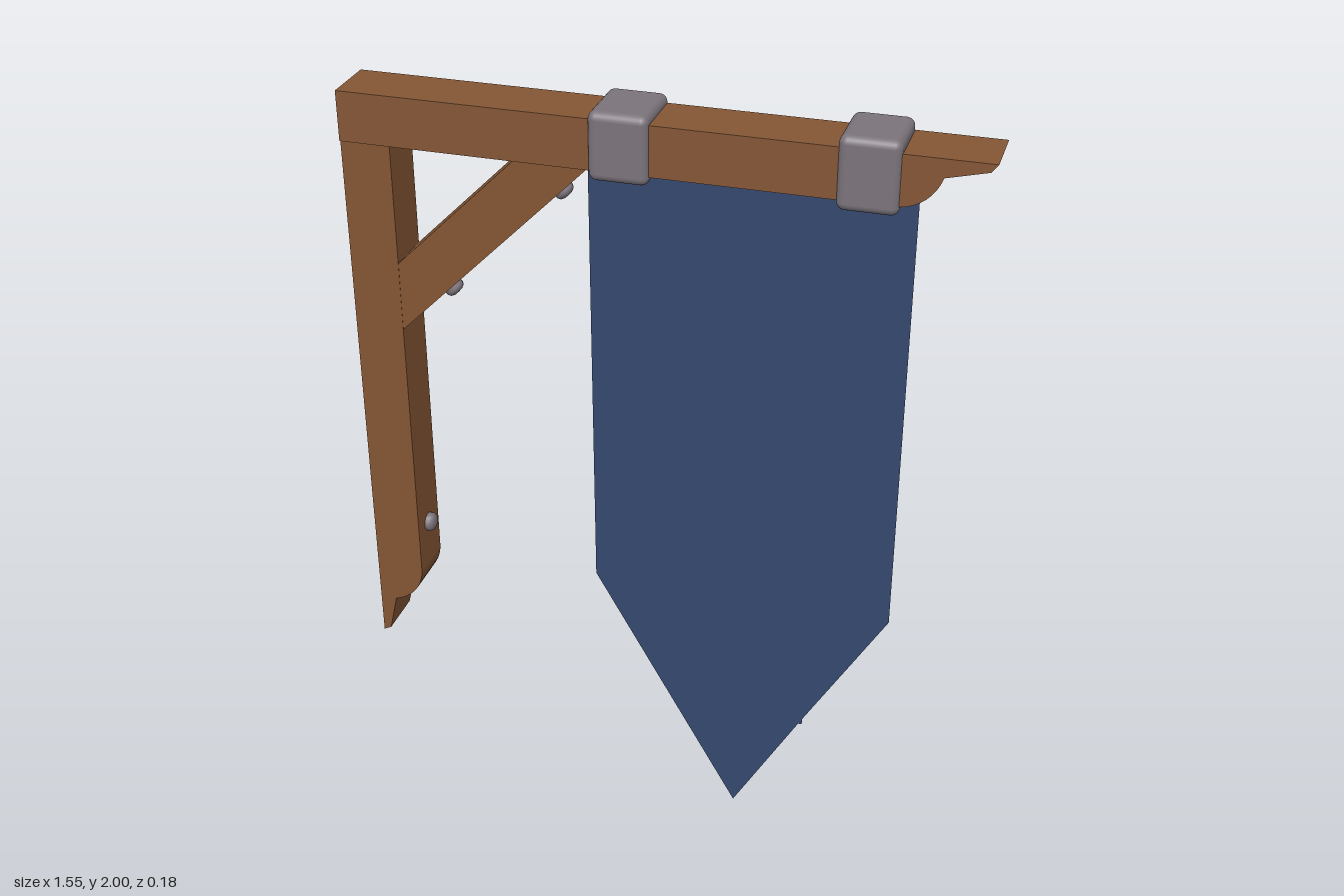
import * as THREE from 'three';
import { RoundedBoxGeometry } from 'three/addons/geometries/RoundedBoxGeometry.js';

const wood = new THREE.MeshStandardMaterial({ color: 0x845635 });
wood.name = 'wood';
const metal = new THREE.MeshStandardMaterial({ color: 0x7b747b });
metal.name = 'iron';
const cloth = new THREE.MeshStandardMaterial({ color: 0x35486f, side: THREE.DoubleSide });
cloth.name = 'blue cloth';

export function createModel() {
  const model = new THREE.Group();
  model.name = 'hangingBanner';

  const add = (name, geometry, material, x = 0, y = 0, z = 0) => {
    const mesh = new THREE.Mesh(geometry, material);
    mesh.name = name;
    mesh.position.set(x, y, z);
    model.add(mesh);
    return mesh;
  };

  // Timber cut from a side profile, spanning z0 to z1
  const timber = (name, shape, z0, z1) => add(
    name,
    new THREE.ExtrudeGeometry(shape, { depth: z1 - z0, bevelEnabled: false, curveSegments: 8 }),
    wood, 0, 0, z0
  );

  // Horizontal beam with a carved right end
  const beam = new THREE.Shape();
  beam.moveTo(-0.775, 1.845);
  beam.lineTo(0.565, 1.845);
  beam.bezierCurveTo(0.61, 1.85, 0.645, 1.88, 0.66, 1.925);
  beam.lineTo(0.76, 1.95);
  beam.lineTo(0.775, 1.97);
  beam.lineTo(-0.775, 1.97);
  timber('beam', beam, -0.077, 0.07);

  // Upright post with a matching carved foot
  const post = new THREE.Shape();
  post.moveTo(-0.775, 1.845);
  post.lineTo(-0.775, 0.42);
  post.lineTo(-0.755, 0.43);
  post.lineTo(-0.732, 0.53);
  post.bezierCurveTo(-0.685, 0.545, -0.655, 0.58, -0.65, 0.63);
  post.lineTo(-0.65, 1.845);
  timber('post', post, -0.065, 0.065);

  // Diagonal brace
  const brace = new THREE.Shape();
  brace.moveTo(-0.65, 1.36);
  brace.lineTo(-0.16, 1.845);
  brace.lineTo(-0.34, 1.845);
  brace.lineTo(-0.65, 1.54);
  timber('brace', brace, -0.067, 0.064);

  // Pointed cloth with a tiny nick of thread on its lower edge
  const banner = new THREE.Shape();
  [[-0.18, 1.86], [-0.18, 0.68], [0.205, 0], [0.378, 0.303], [0.388, 0.305],
    [0.389, 0.322], [0.6, 0.68], [0.6, 1.86]]
    .forEach(([x, y], i) => (i ? banner.lineTo(x, y) : banner.moveTo(x, y)));
  add('banner', new THREE.ShapeGeometry(banner), cloth);

  // Iron clamps wrapped around the beam
  add('innerClamp', new RoundedBoxGeometry(0.145, 0.168, 0.178, 3, 0.02), metal, -0.082, 1.907, -0.005);
  add('outerClamp', new RoundedBoxGeometry(0.143, 0.178, 0.172, 3, 0.02), metal, 0.495, 1.911, -0.003);

  // Domed studs: short rounded heads facing along a given angle
  const studProfile = [[0.025, -0.01], [0.025, 0.012], [0.021, 0.02], [0.012, 0.024], [0, 0.025]]
    .map(([r, y]) => new THREE.Vector2(r, y));
  const studGeometry = new THREE.LatheGeometry(studProfile, 14);
  const down = -Math.PI / 2;
  [['postStud', -0.652, 0.755, down], ['lowerBraceStud', -0.54, 1.47, down * 1.5],
    ['upperBraceStud', -0.246, 1.764, down * 1.5]]
    .forEach(([name, x, y, angle]) => {
      add(name, studGeometry, metal, x, y).rotation.z = angle;
    });

  return model;
}
